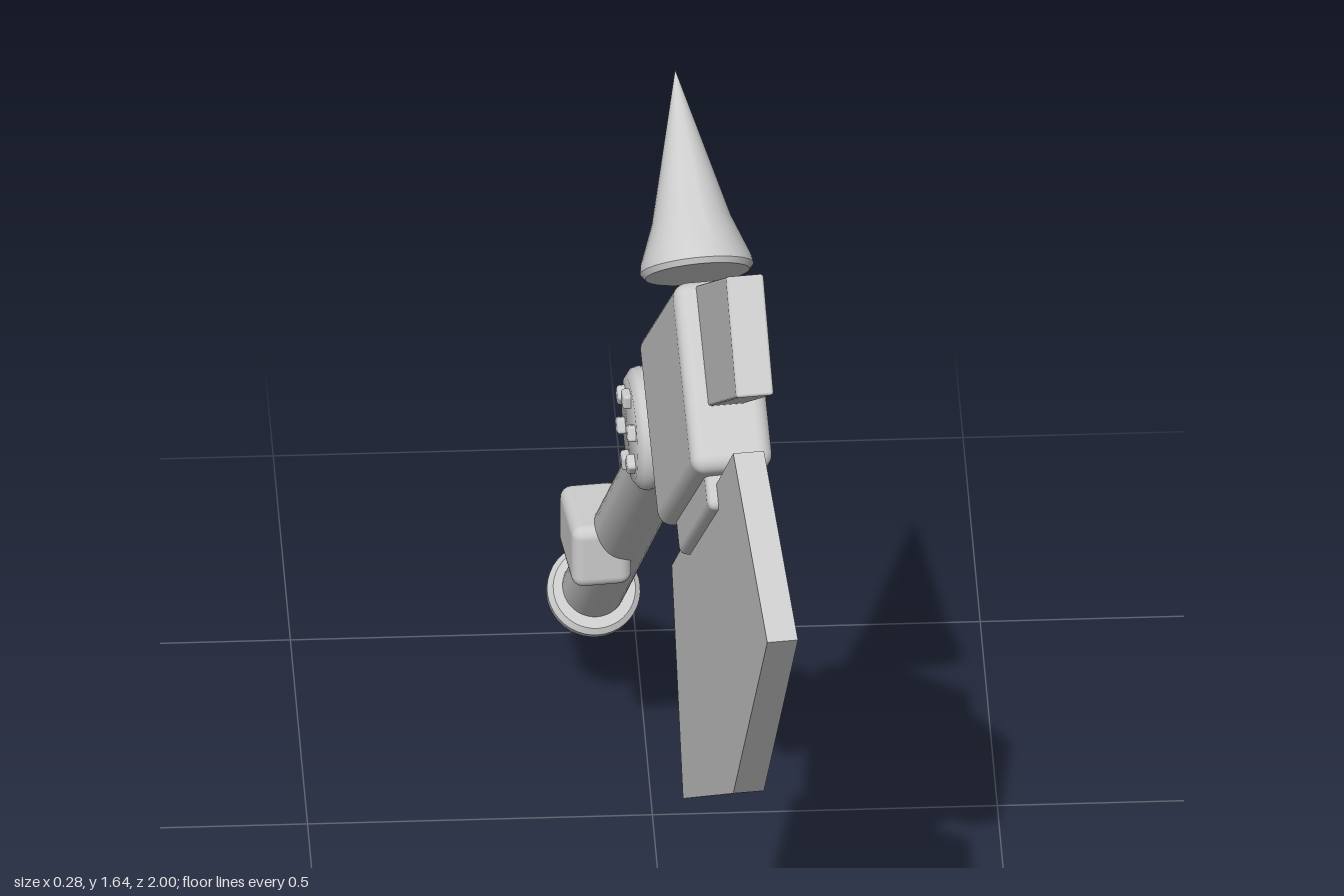
import * as THREE from 'three';
import { toCreasedNormals } from 'three/addons/utils/BufferGeometryUtils.js';
import { RoundedBoxGeometry } from 'three/addons/geometries/RoundedBoxGeometry.js';

const steel = new THREE.MeshStandardMaterial({ color: 0xcccccc });
steel.name = 'steel grey';

const UP = new THREE.Vector3(0, 1, 0);

export function createModel() {
  const model = new THREE.Group();
  model.name = 'battleAxe';

  // The axe lies in its own XY plane; the group turns that plane to face along z
  const axe = new THREE.Group();
  axe.name = 'axe';
  axe.rotation.y = -Math.PI / 2 + 0.104;
  axe.position.x = 0.01;
  model.add(axe);

  const add = (name, geometry, x = 0, y = 0, z = 0, angle = 0) => {
    const mesh = new THREE.Mesh(geometry, steel);
    mesh.name = name;
    mesh.position.set(x, y, z);
    mesh.rotation.z = angle;
    axe.add(mesh);
    return mesh;
  };

  // Turned part standing at `from` and pointing at `to`
  const turned = (name, profile, from, to) => {
    const points = profile.map(([r, h]) => new THREE.Vector2(r, h));
    const geometry = toCreasedNormals(new THREE.LatheGeometry(points, 40), 0.6);
    const mesh = add(name, geometry, from[0], from[1]);
    const dir = new THREE.Vector3(to[0] - from[0], to[1] - from[1], 0).normalize();
    mesh.quaternion.setFromUnitVectors(UP, dir);
    return mesh;
  };

  // Handle, running through the hinge into the head
  turned('handle', [[0, 0], [0.046, 0], [0.046, 1.2], [0, 1.2]], [-0.8, 0.2], [0.014, 0.99]);

  // Pommel spike and the spike on the back of the head
  turned('pommelSpike',
    [[0, 0], [0.06, 0], [0.068, 0.008], [0.068, 0.022], [0.05, 0.08], [0, 0.315]],
    [-0.777, 0.218], [-1.003, 0]);
  turned('headSpike',
    [[0, 0], [0.076, 0], [0.083, 0.008], [0.081, 0.02], [0.058, 0.08], [0, 0.304]],
    [0.198, 1.363], [-0.013, 1.582]);

  // Head block, blade mount and neck
  const tilt = 0.738;
  add('headBlock', new RoundedBoxGeometry(0.458, 0.282, 0.12, 3, 0.022), 0.281, 1.196, 0, tilt);
  add('bladeMount', new RoundedBoxGeometry(0.38, 0.08, 0.075, 2, 0.012), 0.38, 1.083, 0, tilt);
  add('neck', new RoundedBoxGeometry(0.16, 0.1, 0.07, 2, 0.012), 0.07, 1.035, 0, tilt);

  // Square tail at the top of the head
  add('tail', new RoundedBoxGeometry(0.36, 0.176, 0.055, 1, 0.004), 0.547, 1.467, 0, 0.595 - Math.PI);

  // Flat five-sided blade
  const outline = [[1.004, 1.237], [0.682, 1.36], [0.1, 0.805], [0.207, 0.473], [0.682, 0.778]];
  const blade = new THREE.ExtrudeGeometry(
    new THREE.Shape(outline.map(([x, y]) => new THREE.Vector2(x, y))),
    { depth: 0.045, bevelEnabled: false });
  add('blade', blade, 0, 0, -0.0225);

  // Hinge discs with a ring of six rivets on each side
  const discProfile = [[0, 0], [0.075, 0], [0.088, 0.009], [0.091, 0.02], [0.088, 0.031], [0.076, 0.04], [0, 0.04]]
    .map(([r, h]) => new THREE.Vector2(r, h));
  const discGeometry = toCreasedNormals(new THREE.LatheGeometry(discProfile, 40), 0.7);
  const rivetGeometry = new RoundedBoxGeometry(0.024, 0.024, 0.03, 2, 0.005);
  for (const side of [-1, 1]) {
    const disc = add('hingeDisc', discGeometry, 0.014, 0.99, side * 0.031);
    disc.rotation.x = side * Math.PI / 2;
    for (let i = 0; i < 6; i++) {
      const a = i * Math.PI / 3 + 0.45;
      add('hingeRivet', rivetGeometry,
        0.014 + 0.055 * Math.cos(a), 0.99 + 0.055 * Math.sin(a), side * 0.068, a);
    }
  }

  // Small block on one side of the handle
  add('handleBlock', new RoundedBoxGeometry(0.138, 0.102, 0.088, 3, 0.018), -0.532, 0.466, 0.036);

  return model;
}
